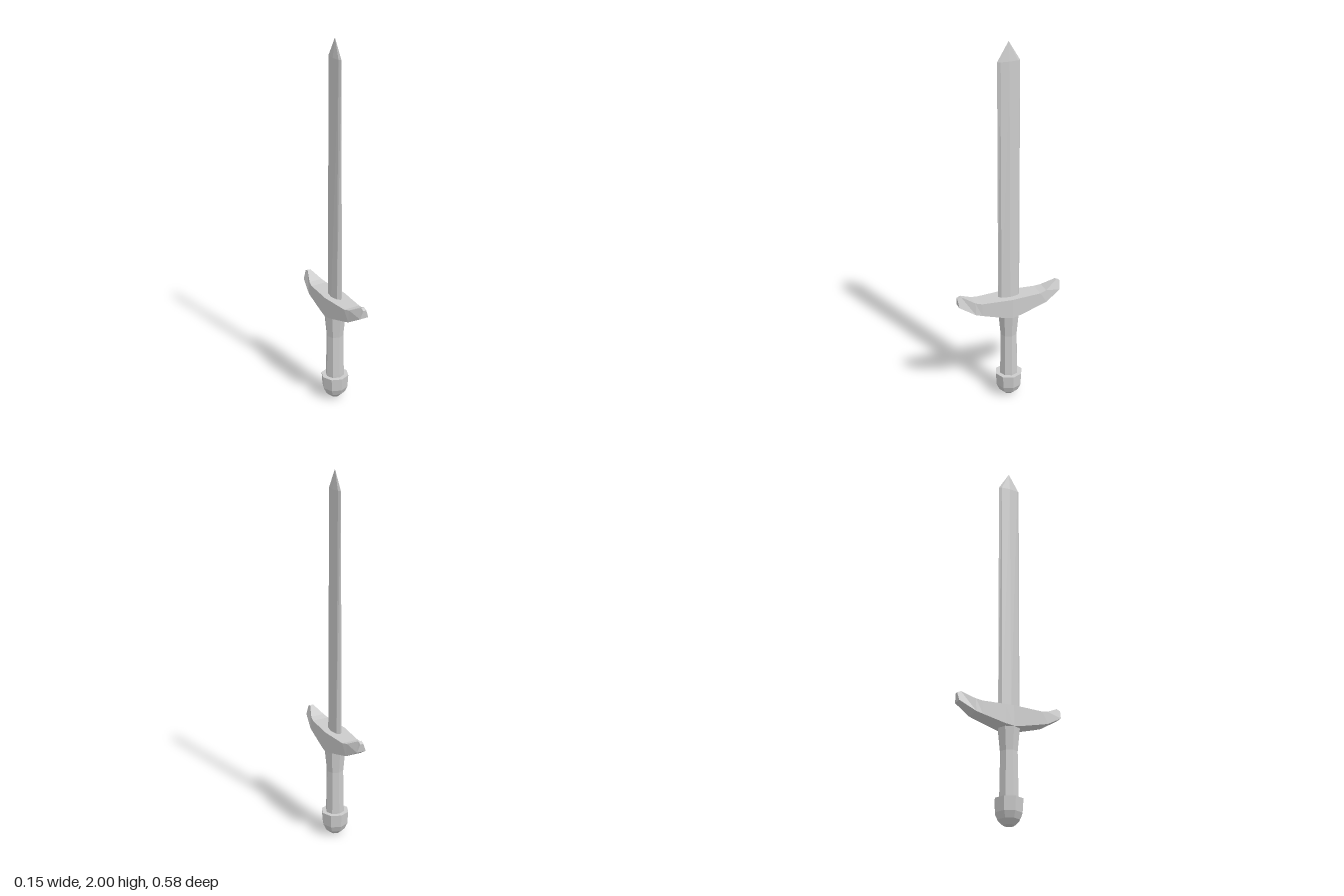
import * as THREE from 'three';

const material = new THREE.MeshStandardMaterial({ color: 0xcccccc, flatShading: true });

function addMesh(group, name, geometry) {
  const flat = geometry.index ? geometry.toNonIndexed() : geometry;
  flat.computeVertexNormals();
  const mesh = new THREE.Mesh(flat, material);
  mesh.name = name;
  group.add(mesh);
}

// Skins a list of equal-length rings and closes both ends with fans.
function loft(rings) {
  const n = rings[0].length;
  const last = rings.length - 1;
  const position = rings.flat(2);
  const index = [];
  for (let i = 0; i < last; i++) {
    for (let j = 0; j < n; j++) {
      const a = i * n + j, b = i * n + (j + 1) % n;
      index.push(a, b, b + n, a, b + n, a + n);
    }
  }
  for (let j = 1; j < n - 1; j++) {
    index.push(0, j + 1, j, last * n, last * n + j, last * n + j + 1);
  }
  const geometry = new THREE.BufferGeometry();
  geometry.setAttribute('position', new THREE.Float32BufferAttribute(position, 3));
  geometry.setIndex(index);
  return geometry;
}

// Eight-sided turned part from [radius, height] pairs, bottom to top.
function turned(profile) {
  return new THREE.LatheGeometry(profile.map(([r, y]) => new THREE.Vector2(r, y)), 8);
}

export function createModel() {
  const sword = new THREE.Group();
  sword.name = 'sword';

  // Blade: ridged diamond section, thinning upward to a short point
  const section = [[0, 0.06], [0.016, 0.046], [0.025, 0], [0.016, -0.046],
    [0, -0.06], [-0.016, -0.046], [-0.025, 0], [-0.016, 0.046]];
  const bladeRing = (y, sx, sz) => section.map(([x, z]) => [x * sx, y, z * sz]);
  addMesh(sword, 'blade', loft([
    bladeRing(0.58, 1, 1),
    bladeRing(1.9, 0.5, 1),
    bladeRing(2, 0, 0),
  ]));

  // Crossguard: half stations [top z, y, half width, bottom z, y, half width]
  const stations = [
    [0, 0.61, 0.06, 0, 0.5, 0.06],
    [0.045, 0.61, 0.056, 0.045, 0.508, 0.056],
    [0.165, 0.61, 0.046, 0.165, 0.54, 0.046],
    [0.2, 0.618, 0.038, 0.2, 0.55, 0.043],
    [0.27, 0.655, 0.009, 0.285, 0.6, 0.025],
    [0.29, 0.645, 0.009, 0.285, 0.6, 0.025],
  ];
  const guardRing = ([tz, ty, tx, bz, by, bx], side) => [
    [-bx, by, bz * side], [bx, by, bz * side], [tx, ty, tz * side], [-tx, ty, tz * side],
  ];
  addMesh(sword, 'crossguard', loft([
    ...stations.slice(1).reverse().map((s) => guardRing(s, -1)),
    ...stations.map((s) => guardRing(s, 1)),
  ]));

  // Grip: octagonal, slightly waisted and flared under the guard
  addMesh(sword, 'grip', turned([
    [0.05, 0.12], [0.05, 0.15], [0.046, 0.38], [0.058, 0.5], [0, 0.51],
  ]));

  // Pommel: rounded octagonal cup with a flat top
  addMesh(sword, 'pommel', turned([
    [0, 0], [0.028, 0.008], [0.055, 0.033], [0.07, 0.066], [0.075, 0.137], [0, 0.137],
  ]));

  return sword;
}
